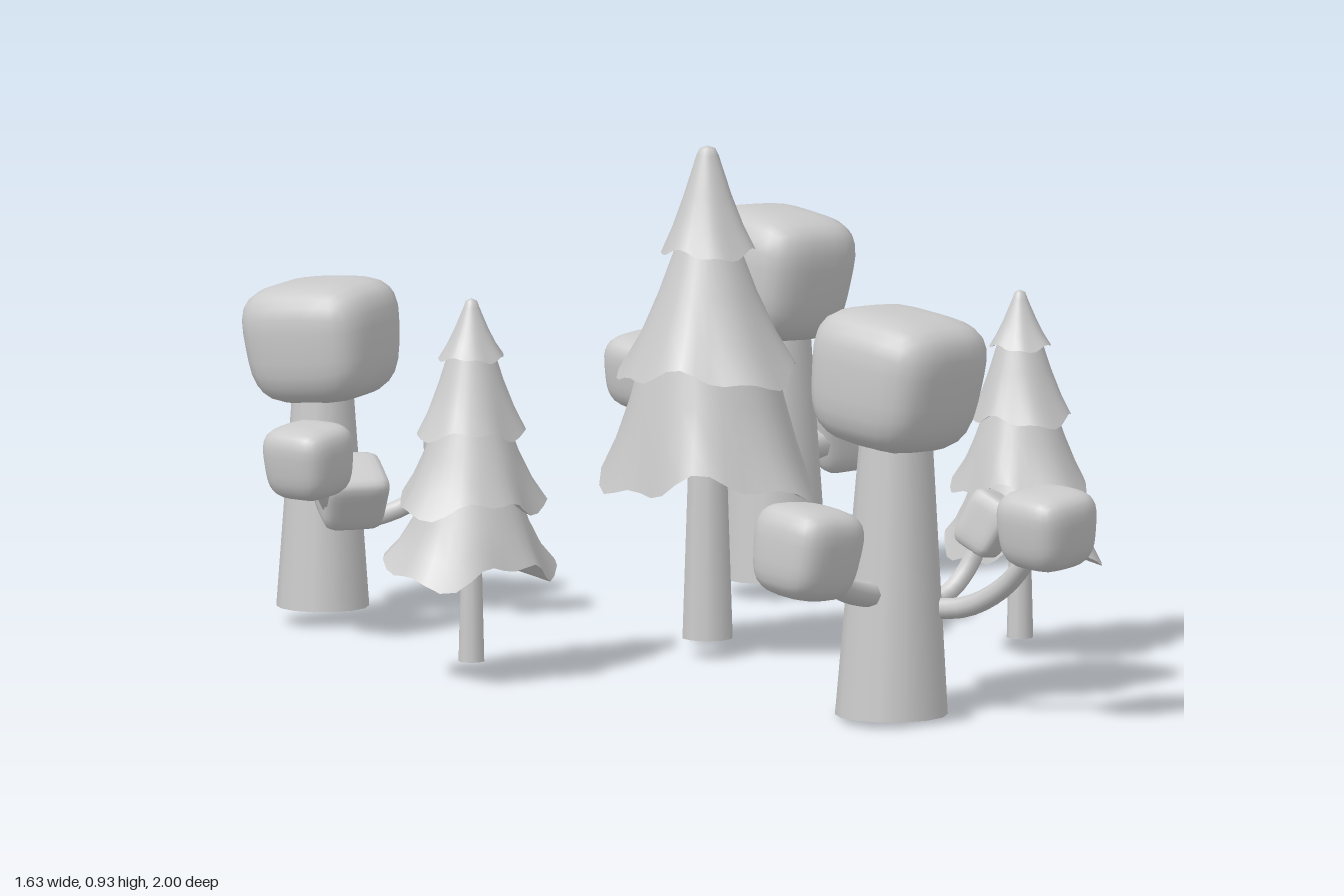
import * as THREE from 'three';
import { mergeVertices } from 'three/addons/utils/BufferGeometryUtils.js';

const material = new THREE.MeshStandardMaterial({ color: 0xcccccc });
const sheet = new THREE.MeshStandardMaterial({ color: 0xcccccc, side: THREE.DoubleSide });

function add(group, name, geometry, mat = material) {
  const mesh = new THREE.Mesh(geometry, mat);
  mesh.name = name;
  group.add(mesh);
  return mesh;
}

// Weld seams so a deformed geometry shades smoothly
function smooth(geometry) {
  geometry.deleteAttribute('uv');
  geometry.deleteAttribute('normal');
  const g = mergeVertices(geometry, 1e-5);
  g.computeVertexNormals();
  return g;
}

function eachVertex(geometry, rule) {
  const pos = geometry.attributes.position;
  const v = new THREE.Vector3();
  for (let i = 0; i < pos.count; i++) {
    rule(v.fromBufferAttribute(pos, i));
    pos.setXYZ(i, v.x, v.y, v.z);
  }
  return geometry;
}

// Soft cube of leaves, a little narrower at the bottom
function foliage(group, name, centre, size, rotation, k = 3.6) {
  const g = eachVertex(new THREE.BoxGeometry(2, 2, 2, 8, 8, 8), (v) => {
    const s = (Math.abs(v.x) ** k + Math.abs(v.y) ** k + Math.abs(v.z) ** k) ** (-1 / k);
    v.multiplyScalar(s);
    const taper = 0.95 + 0.07 * v.y;
    v.set(v.x * taper * size[0] / 2, v.y * size[1] / 2, v.z * taper * size[2] / 2);
  });
  const mesh = add(group, name, smooth(g));
  mesh.position.set(...centre);
  mesh.rotation.set(...rotation);
}

// Tapered trunk that may lean from its base to its top
function trunk(group, base, top, rBase, rTop, sides = 14) {
  const h = top[1] - base[1];
  const g = new THREE.CylinderGeometry(rTop, rBase, h, sides, 4);
  eachVertex(g, (v) => {
    const t = v.y / h + 0.5;
    v.x += base[0] + (top[0] - base[0]) * t;
    v.z += base[2] + (top[2] - base[2]) * t;
    v.y += base[1] + h / 2;
  });
  add(group, 'trunk', g);
}

function branch(group, points, radius) {
  const curve = new THREE.CatmullRomCurve3(points.map((p) => new THREE.Vector3(...p)));
  add(group, 'branch', new THREE.TubeGeometry(curve, 12, radius, 8));
}

function leafyTree(name, { base, top, radii, crown, clumps, branches }) {
  const group = new THREE.Group();
  group.name = name;
  trunk(group, base, top, ...radii);
  foliage(group, 'crown', ...crown);
  clumps.forEach((c) => foliage(group, 'leafClump', ...c));
  branches.forEach(([points, r]) => branch(group, points, r));
  return group;
}

// Conifer: stacked skirts with wavy hems; tiers are [topY, topR, hemY, hemR]
function conifer(name, { x, z, base, trunkR, tiers, angle, oval, wave }) {
  const group = new THREE.Group();
  group.name = name;
  const last = tiers[tiers.length - 1];
  trunk(group, [0, base, 0], [0, last[2] + 0.12, 0], trunkR, trunkR * 0.7, 10);
  tiers.forEach(([topY, topR, hemY, hemR], i) => {
    const weight = (i + 1) / tiers.length;
    const ragged = (g) => smooth(eachVertex(g, (v) => {
      const a = Math.atan2(v.z, v.x);
      const t = Math.max(0, (topY - v.y) / (topY - hemY)) ** 2;
      const r = 1 + t * weight * (oval * Math.cos(2 * a) + 0.05 * Math.cos(5 * a + i * 2));
      v.x *= r;
      v.z *= r;
      v.y += t * weight * wave * (Math.sin(3 * a + i) + 0.6 * Math.sin(7 * a + 2 * i));
    }));
    const profile = [[hemR, 0], [topR + (hemR - topR) * 0.68, 0.26], [topR + (hemR - topR) * 0.36, 0.58], [topR, 1]]
      .map(([r, t]) => new THREE.Vector2(r, hemY + (topY - hemY) * t));
    if (i === 0) {
      profile.push(new THREE.Vector2(topR * 0.7, topY + 0.012), new THREE.Vector2(0, topY + 0.017));
    }
    add(group, 'needleTier', ragged(new THREE.LatheGeometry(profile, 36)), sheet);
    // underside rising from the hem to the trunk
    const under = [[hemR, 0], [hemR * 0.5, 0.12], [trunkR * 0.6, 0.2]]
      .map(([r, t]) => new THREE.Vector2(r, hemY + (topY - hemY) * t));
    add(group, 'tierUnderside', ragged(new THREE.LatheGeometry(under, 36)), sheet);
  });
  group.position.set(x, 0, z);
  group.rotation.y = angle;
  return group;
}

export function createModel() {
  const model = new THREE.Group();
  model.name = 'grove';

  model.add(leafyTree('frontLeafyTree', {
    base: [-0.335, 0, 0.635], top: [-0.315, 0.53, 0.625], radii: [0.102, 0.064],
    crown: [[-0.31, 0.607, 0.62], [0.28, 0.25, 0.28], [0.12, 0.2, -0.08]],
    clumps: [
      [[-0.623, 0.338, 0.743], [0.175, 0.17, 0.175], [0.1, 0.1, -0.12]],
      [[-0.205, 0.36, 0.918], [0.16, 0.145, 0.16], [0.05, 0.1, 0.08]],
      [[-0.15, 0.335, 0.685], [0.08, 0.11, 0.09], [0.5, 0.3, -0.35], 6],
    ],
    branches: [
      [[[-0.35, 0.22, 0.64], [-0.44, 0.235, 0.67], [-0.53, 0.265, 0.71], [-0.61, 0.32, 0.74]], 0.023],
      [[[-0.28, 0.19, 0.66], [-0.245, 0.2, 0.74], [-0.222, 0.245, 0.82], [-0.21, 0.33, 0.9]], 0.019],
      [[[-0.3, 0.19, 0.64], [-0.23, 0.21, 0.66], [-0.19, 0.25, 0.67], [-0.16, 0.32, 0.685]], 0.018],
    ],
  }));

  model.add(leafyTree('backRightLeafyTree', {
    base: [-0.437, 0.03, -0.847], top: [-0.43, 0.44, -0.855], radii: [0.084, 0.054],
    crown: [[-0.425, 0.512, -0.862], [0.25, 0.22, 0.26], [-0.1, 0.35, 0.06]],
    clumps: [
      [[-0.623, 0.335, -0.663], [0.145, 0.135, 0.145], [0, 0.2, 0.1]],
      [[-0.25, 0.31, -0.687], [0.125, 0.12, 0.12], [0.1, -0.4, 0.05]],
      [[-0.495, 0.26, -0.70], [0.125, 0.11, 0.125], [0.45, -0.4, 0.2], 6],
    ],
    branches: [
      [[[-0.44, 0.19, -0.83], [-0.475, 0.2, -0.76], [-0.54, 0.24, -0.7], [-0.61, 0.32, -0.665]], 0.018],
      [[[-0.41, 0.18, -0.83], [-0.34, 0.19, -0.8], [-0.29, 0.22, -0.76], [-0.255, 0.3, -0.69]], 0.017],
    ],
  }));

  model.add(leafyTree('backLeftLeafyTree', {
    base: [0.405, 0.03, -0.587], top: [0.41, 0.51, -0.59], radii: [0.098, 0.063],
    crown: [[0.412, 0.583, -0.59], [0.245, 0.235, 0.25], [0.1, 0.06, -0.08]],
    clumps: [
      [[0.378, 0.37, -0.9], [0.15, 0.135, 0.15], [0.1, 0.1, 0.08]],
      [[0.735, 0.368, -0.61], [0.15, 0.145, 0.145], [0.05, 0.2, -0.15]],
      [[0.61, 0.285, -0.635], [0.145, 0.155, 0.16], [0.2, -0.3, 0.15], 6],
    ],
    branches: [
      [[[0.38, 0.2, -0.6], [0.355, 0.205, -0.69], [0.35, 0.24, -0.79], [0.372, 0.34, -0.89]], 0.02],
      [[[0.42, 0.255, -0.6], [0.53, 0.255, -0.615], [0.64, 0.29, -0.62], [0.72, 0.35, -0.61]], 0.028],
    ],
  }));

  // Two small conifers share one shape, turned a quarter
  const smallTiers = [
    [0.65, 0.014, 0.565, 0.056], [0.585, 0.036, 0.435, 0.092],
    [0.46, 0.06, 0.31, 0.122], [0.34, 0.078, 0.195, 0.14],
  ];
  const small = { base: 0.032, trunkR: 0.024, oval: 0.16, wave: 0.017 };
  model.add(conifer('leftConifer', { ...small, x: 0.285, z: 0.253, angle: Math.PI / 2, tiers: smallTiers }));
  model.add(conifer('rightConifer', {
    ...small, x: -0.653, z: -0.168, angle: 0,
    tiers: smallTiers.map(([a, r, b, s]) => [a * 1.043, r * 1.04, b * 1.04, s * 1.04]),
  }));

  model.add(conifer('tallConifer', {
    x: -0.155, z: -0.1, base: 0.033, trunkR: 0.047, angle: Math.PI / 2 + 0.2, oval: 0.08, wave: 0.022,
    tiers: [[0.915, 0.02, 0.74, 0.085], [0.77, 0.05, 0.52, 0.158], [0.57, 0.115, 0.325, 0.185]],
  }));

  return model;
}
